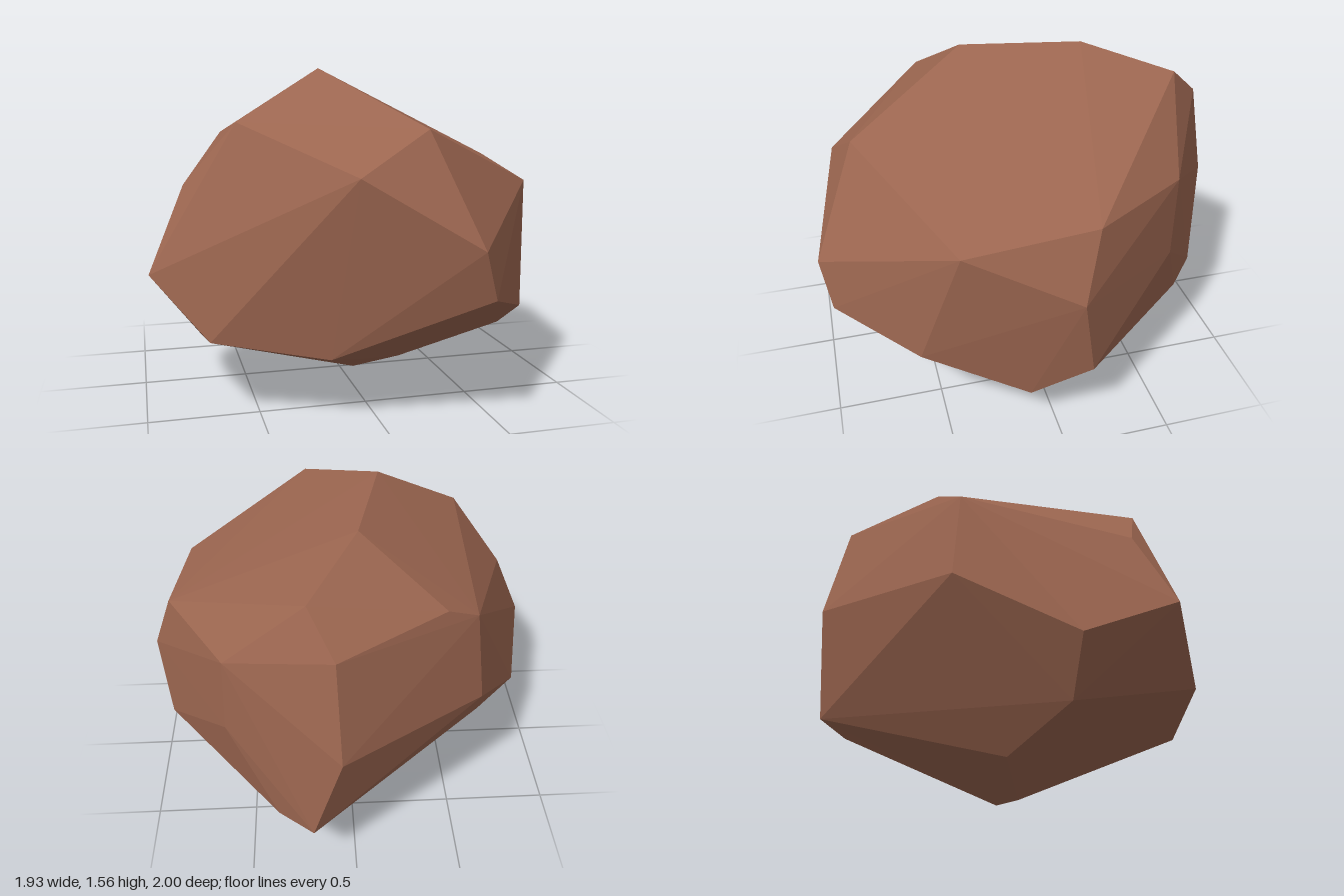
import * as THREE from 'three';
import { ConvexGeometry } from 'three/addons/geometries/ConvexGeometry.js';

// Corners of the faceted boulder, grouped by height band: [x, y, z]
const crown = [
  [-0.16, 1.55, 0.22], [-0.03, 1.56, -0.34], [0.2, 1.46, -0.73], [0.09, 1.3, -0.9],
  [0.19, 1.29, 0.79], [-0.57, 1.31, 0.38], [-0.4, 1.3, -0.58], [-0.55, 1.22, -0.51],
];
const shoulder = [
  [0.85, 1.1, -0.16], [0.57, 1.1, -0.63], [0.81, 1.02, 0.43], [-0.13, 1.1, 0.87],
  [-0.8, 1.02, 0.23], [0.37, 0.8, 1.0], [0.96, 0.79, -0.07],
];
const waist = [
  [0.07, 0.83, -1.0], [0.59, 0.71, -0.62], [-0.6, 0.78, -0.55], [-0.97, 0.63, 0.34],
  [0.44, 0.58, 0.96], [0.72, 0.45, 0.61], [-0.88, 0.46, -0.07],
];
const base = [
  [0.92, 0.38, -0.14], [-0.72, 0.36, 0.55], [0.2, 0.33, -0.94], [0.36, 0.3, -0.79],
  [-0.22, 0.3, 0.73], [0.84, 0.22, 0.13], [-0.72, 0.22, -0.05], [0.02, 0.17, 0.39],
  [-0.38, 0.06, -0.21], [0.33, 0.03, 0.0], [0.07, 0.0, 0.02],
];

export function createModel() {
  const group = new THREE.Group();
  group.name = 'rock';

  const stone = new THREE.MeshStandardMaterial({ color: 0x9c6650 });
  stone.name = 'reddish brown stone';

  // Flat-faced hull around all corners
  const corners = [...crown, ...shoulder, ...waist, ...base].map((p) => new THREE.Vector3(...p));
  const boulder = new THREE.Mesh(new ConvexGeometry(corners), stone);
  boulder.name = 'boulder';
  group.add(boulder);

  return group;
}
